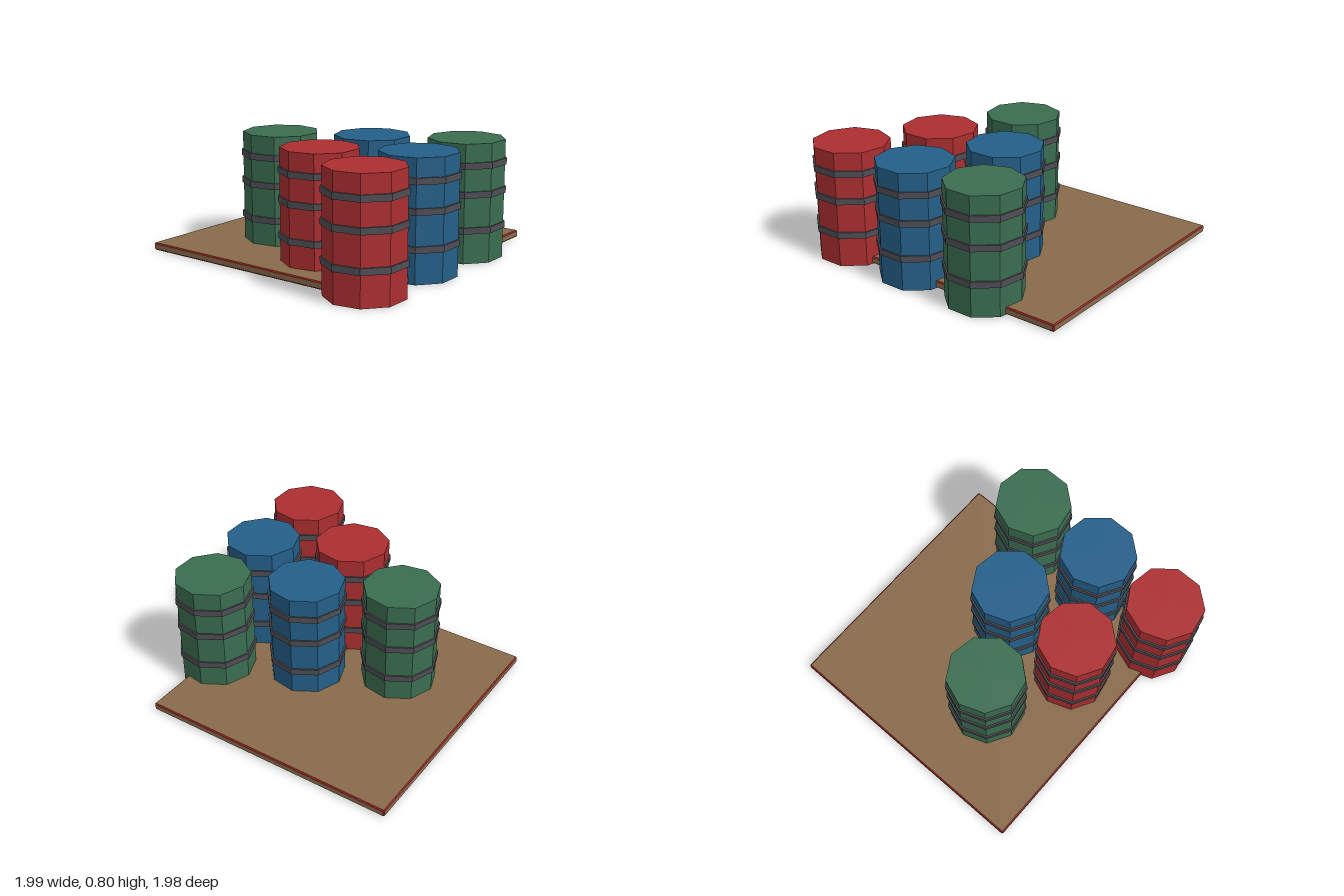
import * as THREE from 'three';
import { ConvexGeometry } from 'three/addons/geometries/ConvexGeometry.js';

const flat = (name, color) => {
  const m = new THREE.MeshStandardMaterial({ color, flatShading: true });
  m.name = name;
  return m;
};

// Box with narrow chamfers: flat faces use material 0, chamfers material 1
function chamferedBox(w, h, d, c) {
  const points = [];
  for (const sx of [-1, 1]) for (const sy of [-1, 1]) for (const sz of [-1, 1]) {
    for (let full = 0; full < 3; full++) {
      const inset = [c, c, c];
      inset[full] = 0;
      points.push(new THREE.Vector3(
        sx * (w / 2 - inset[0]), sy * (h / 2 - inset[1]), sz * (d / 2 - inset[2])));
    }
  }
  const geo = new ConvexGeometry(points);
  const n = geo.attributes.normal;
  for (let i = 0; i < n.count; i += 3) {
    const straight = Math.max(Math.abs(n.getX(i)), Math.abs(n.getY(i)), Math.abs(n.getZ(i))) > 0.99;
    geo.addGroup(i, 3, straight ? 0 : 1);
  }
  return geo;
}

export function createModel() {
  const model = new THREE.Group();
  model.name = 'barrelsOnBoard';

  const red = flat('barrel red', 0xab2e30);
  const blue = flat('barrel blue', 0x245f88);
  const green = flat('barrel green', 0x3a6d50);
  const iron = flat('band grey', 0x4d4d54);
  const wood = flat('board brown', 0x886a4a);
  const trim = flat('board edge red', 0x9c1a1c);

  // Base board, its underside a hair above the barrel bottoms
  const board = new THREE.Mesh(chamferedBox(1.815, 0.051, 1.815, 0.008), [wood, trim]);
  board.name = 'board';
  board.position.set(0.086, 0.0275, -0.086);
  model.add(board);

  // Nine-sided barrels with a corner pointing to the back
  const nonagon = (r, h) => new THREE.CylinderGeometry(r, r, h, 9, 1, false, Math.PI);
  const bodyGeo = nonagon(0.26, 0.8);
  const bandGeo = nonagon(0.271, 0.043);
  const bandHeights = [0.225, 0.465, 0.656];

  function addBarrel(name, x, z, material) {
    const barrel = new THREE.Group();
    barrel.name = name;
    const body = new THREE.Mesh(bodyGeo, material);
    body.name = 'barrelBody';
    body.position.y = 0.4;
    barrel.add(body);
    for (const y of bandHeights) {
      const band = new THREE.Mesh(bandGeo, iron);
      band.name = 'barrelBand';
      band.position.y = y;
      barrel.add(band);
    }
    barrel.position.set(x, 0, z);
    model.add(barrel);
    return barrel;
  }

  // Triangular stack: rows of three, two and one
  const rows = [[red, blue, green], [red, blue], [green]];
  rows.forEach((row, r) => row.forEach((material, i) => {
    const x = -0.73 + 0.2815 * r + 0.565 * i;
    addBarrel(`barrelRow${r + 1}Place${i + 1}`, x, 0.735 - 0.566 * r, material);
  }));

  // The back barrel stands inside the board, its base just hidden
  const back = model.getObjectByName('barrelRow3Place1');
  back.position.y = 0.003;

  return model;
}
